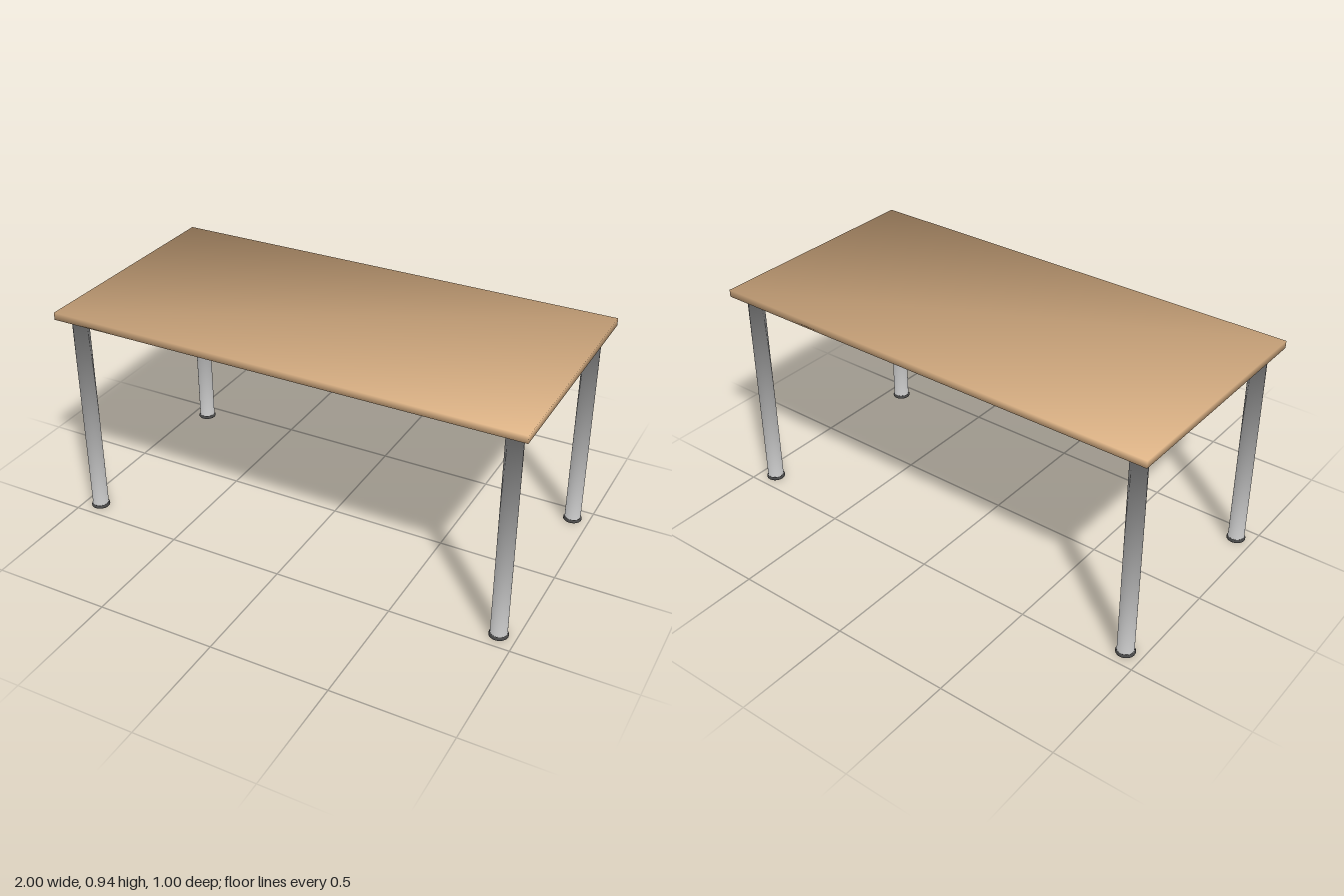
import * as THREE from 'three';

const wood = new THREE.MeshStandardMaterial({ color: 0xdeb487 });
wood.name = 'wood';
const steel = new THREE.MeshStandardMaterial({ color: 0xb4b4b4 });
steel.name = 'steel';
const rubber = new THREE.MeshStandardMaterial({ color: 0x484848 });
rubber.name = 'dark rubber';

const TOP_Y = 0.943, TOP_T = 0.031;
const PLATE_T = 0.007, PLATE_SIZE = 0.12;
const LEG_R = 0.034, FOOT_H = 0.014;
const LEG_X = 0.929, LEG_Z = 0.429;

// Box whose corner normals are shared by the three faces that meet there
function softBox(w, h, d) {
  const geo = new THREE.BoxGeometry(w, h, d);
  const p = geo.attributes.position, n = geo.attributes.normal;
  const v = new THREE.Vector3();
  for (let i = 0; i < p.count; i++) {
    v.set(Math.sign(p.getX(i)), Math.sign(p.getY(i)), Math.sign(p.getZ(i))).normalize();
    n.setXYZ(i, v.x, v.y, v.z);
  }
  return geo;
}

// Open tube whose end normals blend into the plate above and the foot below
function legTube(radius, height) {
  const geo = new THREE.CylinderGeometry(radius, radius, height, 32, 1, true);
  const p = geo.attributes.position, n = geo.attributes.normal;
  const v = new THREE.Vector3();
  for (let i = 0; i < p.count; i++) {
    v.set(n.getX(i), -Math.sign(p.getY(i)), n.getZ(i)).normalize();
    n.setXYZ(i, v.x, v.y, v.z);
  }
  return geo;
}

function addPart(parent, name, geometry, material, y) {
  const mesh = new THREE.Mesh(geometry, material);
  mesh.name = name;
  mesh.position.y = y;
  parent.add(mesh);
}

export function createModel() {
  const table = new THREE.Group();
  table.name = 'table';

  const underside = TOP_Y - TOP_T;
  const legTop = underside - PLATE_T;
  addPart(table, 'tableTop', softBox(2, TOP_T, 1), wood, underside + TOP_T / 2);

  // Shared leg geometry
  const plateGeo = softBox(PLATE_SIZE, PLATE_T, PLATE_SIZE);
  const tubeGeo = legTube(LEG_R, legTop - FOOT_H);
  const footGeo = new THREE.LatheGeometry([
    [0, 0], [0.038, 0], [0.039, 0.001], [0.039, 0.006],
    [0.036, 0.012], [0.034, FOOT_H], [0, FOOT_H],
  ].map(([x, y]) => new THREE.Vector2(x, y)), 32);

  // One leg near each corner
  for (const [sx, side] of [[1, 'Left'], [-1, 'Right']]) {
    for (const [sz, end] of [[1, 'front'], [-1, 'back']]) {
      const leg = new THREE.Group();
      leg.name = `${end}${side}Leg`;
      leg.position.set(sx * LEG_X, 0, sz * LEG_Z);
      addPart(leg, 'mountingPlate', plateGeo, steel, legTop + PLATE_T / 2);
      addPart(leg, 'legTube', tubeGeo, steel, (legTop + FOOT_H) / 2);
      addPart(leg, 'foot', footGeo, rubber, 0);
      table.add(leg);
    }
  }
  return table;
}
